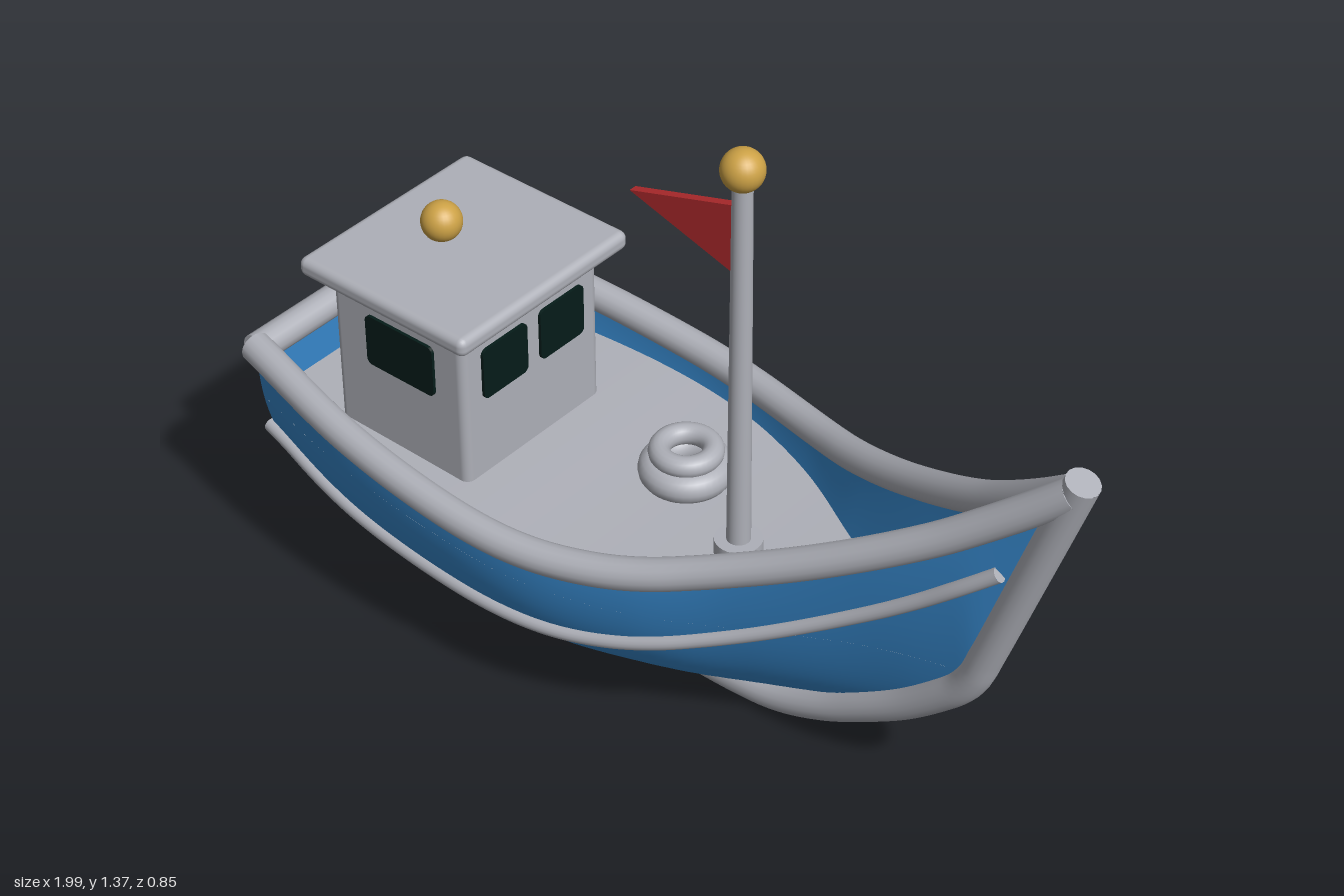
import * as THREE from 'three';
import { RoundedBoxGeometry } from 'three/addons/geometries/RoundedBoxGeometry.js';

const mat = (name, color, side = THREE.FrontSide) => {
  const m = new THREE.MeshStandardMaterial({ color, side });
  m.name = name;
  return m;
};

// Smooth interpolation through [x, y] pairs
function curveThrough(p) {
  const slope = (i) => {
    const a = p[Math.max(i - 1, 0)], b = p[Math.min(i + 1, p.length - 1)];
    return (b[1] - a[1]) / (b[0] - a[0]);
  };
  return (x) => {
    let i = 0;
    while (i < p.length - 2 && x > p[i + 1][0]) i++;
    const h = p[i + 1][0] - p[i][0];
    const t = THREE.MathUtils.clamp((x - p[i][0]) / h, 0, 1), t2 = t * t, t3 = t2 * t;
    return (2 * t3 - 3 * t2 + 1) * p[i][1] + (t3 - 2 * t2 + t) * h * slope(i)
      + (3 * t2 - 2 * t3) * p[i + 1][1] + (t3 - t2) * h * slope(i + 1);
  };
}

// Hull lines: x runs from stern to bow, z is the half width
const STERN = -0.93, BOW = 0.955;
const halfWidth = curveThrough([[STERN, 0.288], [-0.6, 0.354], [-0.3, 0.376], [-0.1, 0.363], [0.1, 0.31],
  [0.3, 0.228], [0.5, 0.154], [0.75, 0.066], [BOW, 0.004]]);
const sheer = curveThrough([[STERN, 0.54], [-0.55, 0.5], [-0.25, 0.475], [-0.05, 0.472], [0.14, 0.497],
  [0.33, 0.56], [0.52, 0.647], [0.71, 0.757], [0.86, 0.87], [BOW, 0.95]]);
const belly = curveThrough([[STERN, 0.12], [-0.75, 0.07], [-0.5, 0.068], [0, 0.068], [0.2, 0.07],
  [0.4, 0.125], [0.6, 0.24], [0.76, 0.37]]);
const bottom = (x) => (x < 0.76 ? belly(x) : Math.min(0.37 + (x - 0.76) * 2.9, sheer(x) - 0.005));
const fullness = curveThrough([[STERN, 2.3], [-0.5, 2.4], [-0.1, 2.3], [0.3, 1.5], [0.55, 1.1], [BOW, 1]]);
const deckY = curveThrough([[STERN, 0.4], [-0.4, 0.392], [-0.1, 0.378], [0.2, 0.373], [0.72, 0.38]]);

function halfAt(x, y) {
  const t = THREE.MathUtils.clamp((sheer(x) - y) / (sheer(x) - bottom(x)), 0, 1), p = fullness(x);
  return halfWidth(x) * (1 - t ** p) ** (1 / p);
}

// One cross-section as [z, y] points from rail to rail under the keel
function section(x, n) {
  const e = 2 / fullness(x), pts = [];
  for (let j = 0; j <= n; j++) {
    const a = Math.PI * j / n, c = Math.cos(a);
    pts.push([Math.sign(c) * halfWidth(x) * Math.abs(c) ** e,
      sheer(x) - (sheer(x) - bottom(x)) * Math.abs(Math.sin(a)) ** e]);
  }
  return pts;
}

// Skin over cross-sections given by a rule, each with n + 1 points
function loft(x0, x1, nx, n, rule) {
  const pos = [], idx = [];
  for (let i = 0; i <= nx; i++) {
    const x = x0 + (x1 - x0) * i / nx;
    for (const [z, y] of rule(x)) pos.push(x, y, z);
  }
  for (let i = 0; i < nx; i++) {
    for (let j = 0; j < n; j++) {
      const a = i * (n + 1) + j, b = a + n + 1;
      idx.push(a, a + 1, b, b, a + 1, b + 1);
    }
  }
  const g = new THREE.BufferGeometry();
  g.setAttribute('position', new THREE.Float32BufferAttribute(pos, 3));
  g.setIndex(idx);
  g.computeVertexNormals();
  return g;
}

export function createModel() {
  const model = new THREE.Group();
  const boat = new THREE.Group();
  boat.name = 'boat';
  boat.rotation.y = -0.14;
  boat.position.z = 0.045;
  model.add(boat);

  const grey = mat('grey trim', 0xaeb0b8);
  const blue = mat('blue hull', 0x3788cc, THREE.DoubleSide);
  const gold = mat('gold', 0xcda246);
  const red = mat('red flag', 0xb52c2e);
  const glass = mat('dark glass', 0x051c19);

  const add = (name, geo, material, x = 0, y = 0, z = 0) => {
    const m = new THREE.Mesh(geo, material);
    m.name = name;
    m.position.set(x, y, z);
    boat.add(m);
    return m;
  };

  // Round bar along points, with flat end caps
  const bar = (name, points, r) => {
    const curve = new THREE.CatmullRomCurve3(points.map((p) => new THREE.Vector3(...p)));
    add(name, new THREE.TubeGeometry(curve, 110, r, 16), grey);
    for (const t of [0, 1]) {
      const dir = curve.getTangent(t).multiplyScalar(t ? 1 : -1), at = curve.getPoint(t);
      const cap = add(name + 'Cap', new THREE.CircleGeometry(r, 16), grey, at.x, at.y, at.z);
      cap.quaternion.setFromUnitVectors(new THREE.Vector3(0, 0, 1), dir);
    }
  };
  const along = (a, b, n, f) => Array.from({ length: n + 1 }, (_, i) => f(a + (b - a) * i / n));

  // Hull, transom and deck
  add('hull', loft(STERN, BOW, 90, 48, (x) => section(x, 48)), blue);
  const transom = new THREE.Shape(section(STERN, 48).map(([z, y]) => new THREE.Vector2(z, y)));
  add('transom', new THREE.ShapeGeometry(transom), blue, STERN).rotation.y = -Math.PI / 2;
  add('deck', loft(STERN + 0.003, 0.72, 50, 1, (x) => {
    const y = deckY(x), w = halfAt(x, y);
    return [[-w, y], [w, y]];
  }), grey);

  // Rails and rubbing strakes on both sides
  const strakeY = curveThrough([[-0.94, 0.305], [-0.55, 0.252], [-0.15, 0.245], [0.04, 0.262],
    [0.23, 0.32], [0.42, 0.41], [0.62, 0.535], [0.82, 0.695]]);
  for (const s of [1, -1]) {
    bar('rail', along(STERN, BOW, 24, (x) => [x, sheer(x), s * halfWidth(x)]), 0.035);
    bar('strake', along(-0.94, 0.82, 24, (x) => {
      const u = Math.max(x, STERN);
      return [x, strakeY(x), s * (halfAt(u, strakeY(u)) + 0.004)];
    }), 0.017);
  }
  bar('sternRail', [[-0.932, 0.53, -0.288], [-0.932, 0.53, 0], [-0.932, 0.53, 0.288]], 0.035);

  // Keel sweeping up into the stem
  bar('keel', [[-0.93, 0.09, 0], [-0.84, 0.052, 0], [-0.75, 0.036, 0], [-0.5, 0.035, 0], [-0.15, 0.035, 0],
    [0.18, 0.035, 0], [0.28, 0.048, 0], [0.4, 0.093, 0], [0.5, 0.15, 0], [0.6, 0.217, 0], [0.69, 0.295, 0],
    [0.735, 0.341, 0], [0.765, 0.39, 0], [0.787, 0.45, 0], [0.865, 0.675, 0], [0.97, 0.98, 0]], 0.036);

  // Cabin
  const CX = -0.58;
  add('cabin', new RoundedBoxGeometry(0.37, 0.4, 0.42, 3, 0.02), grey, CX, 0.57, 0);
  add('cabinRoof', new RoundedBoxGeometry(0.465, 0.045, 0.515, 3, 0.018), grey, CX, 0.787, 0);
  add('cabinLamp', new THREE.SphereGeometry(0.045, 28, 20), gold, -0.641, 0.841, 0);

  // Windows with rounded corners
  const windowGeometry = (w, h, r = 0.014) => {
    const s = new THREE.Shape(), a = w / 2, b = h / 2;
    s.absarc(a - r, b - r, r, 0, Math.PI / 2);
    s.absarc(r - a, b - r, r, Math.PI / 2, Math.PI);
    s.absarc(r - a, r - b, r, Math.PI, Math.PI * 1.5);
    s.absarc(a - r, r - b, r, Math.PI * 1.5, Math.PI * 2);
    return new THREE.ExtrudeGeometry(s, { depth: 0.009, bevelEnabled: false, curveSegments: 5 });
  };
  add('sideWindow', windowGeometry(0.19, 0.125), glass, -0.57, 0.648, 0.208);
  add('sideWindow', windowGeometry(0.19, 0.125), glass, -0.57, 0.648, -0.208).rotation.y = Math.PI;
  for (const z of [0.088, -0.088]) {
    add('frontWindow', windowGeometry(0.135, 0.125), glass, CX + 0.183, 0.648, z).rotation.y = Math.PI / 2;
  }

  // Mast with collar, ball and flag
  const MX = 0.163;
  add('mast', new THREE.CylinderGeometry(0.021, 0.026, 0.94, 24), grey, MX, 0.84, 0);
  add('mastCollar', new THREE.CylinderGeometry(0.051, 0.051, 0.04, 28), grey, MX, deckY(MX) + 0.02, 0);
  add('mastBall', new THREE.SphereGeometry(0.045, 28, 20), gold, MX, 1.319, 0);
  const pennant = new THREE.Shape([[0, 1.236], [-0.264, 1.156], [0, 1.076]].map((p) => new THREE.Vector2(...p)));
  add('flag', new THREE.ExtrudeGeometry(pennant, { depth: 0.018, bevelEnabled: false }), red, MX - 0.012, 0, -0.009);

  // Coiled rope on the deck
  for (const [R, r, y] of [[0.069, 0.034, 0.41], [0.057, 0.024, 0.455]]) {
    add('ropeCoil', new THREE.TorusGeometry(R, r, 16, 40), grey, -0.069, y, -0.111).rotation.x = Math.PI / 2;
  }
  return model;
}
